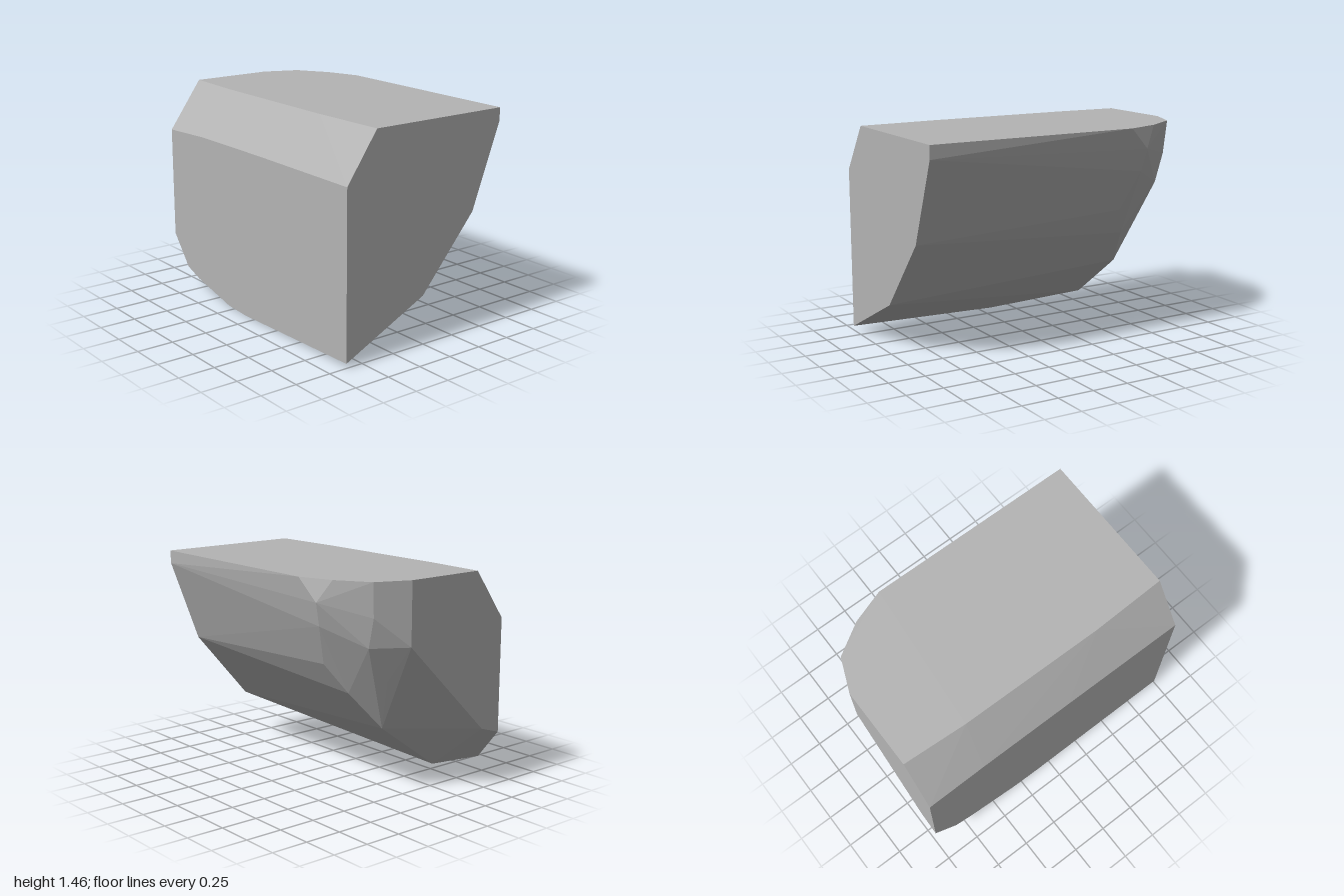
import * as THREE from 'three';
import { ConvexGeometry } from 'three/addons/geometries/ConvexGeometry.js';

// Faceted convex block: flat front, top and sides, rounded back underside and one worn corner.
export function createModel() {
  const grey = new THREE.MeshStandardMaterial({ color: 0xb4b4b4 });
  grey.name = 'stone grey';

  const front = 0.622, top = 1.46;

  // Front face outline (x, y)
  const frontOutline = [
    [-1, 1.13], [-0.58, 1.148], [0.1, 1.148], [1, 1.14], [1, 0.03],
    [-0.1, 0], [-0.3, 0.01], [-0.69, 0.1], [-0.83, 0.15], [-1, 0.36],
  ].map(([x, y]) => [x, y, front]);

  // Top face outline (x, z)
  const topOutline = [
    [-1, 0.385], [-0.55, 0.41], [0.47, 0.418], [1, 0.4],
    [1, -0.615], [-0.46, -0.624], [-0.69, -0.545], [-0.905, -0.41], [-1, -0.18],
  ].map(([x, z]) => [x, top, z]);

  // Curved back edge of the left side (y, z)
  const leftBack = [[1.37, -0.612], [0.81, -0.4], [0.33, 0.01]].map(([y, z]) => [1, y, z]);

  // Back edge of the cut right side (y, z)
  const rightBack = [[1.046, -0.18], [0.41, 0.466]].map(([y, z]) => [-1, y, z]);

  // Facet corners of the worn back corner
  const wornCorner = [
    [-0.6, 1.315, -0.6], [-0.58, 1.16, -0.56], [-0.49, 0.89, -0.45],
    [-0.59, 0.7, -0.33], [-0.68, 0.45, -0.122], [-0.69, 0.12, 0.33],
    [-0.89, 1.235, -0.39], [-0.835, 1.038, -0.38], [-0.825, 0.8, -0.21],
  ];

  const points = [frontOutline, topOutline, leftBack, rightBack, wornCorner]
    .flat()
    .map((p) => new THREE.Vector3(...p));

  const block = new THREE.Mesh(new ConvexGeometry(points), grey);
  block.name = 'block';

  const model = new THREE.Group();
  model.name = 'facetedBlock';
  model.add(block);
  return model;
}
